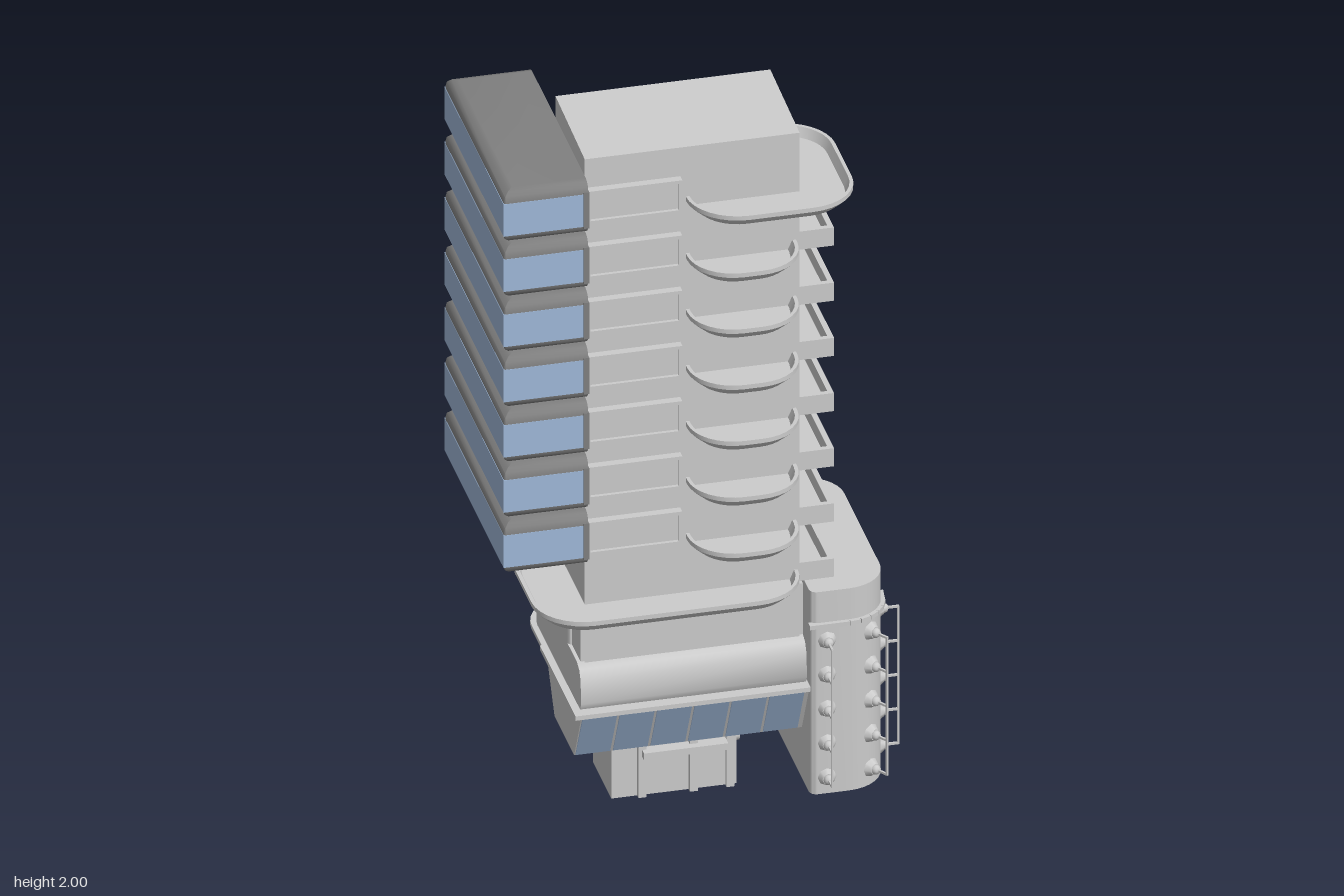
import * as THREE from 'three';
import { toCreasedNormals } from 'three/addons/utils/BufferGeometryUtils.js';

const mat = (color) => new THREE.MeshStandardMaterial({ color });

// Rounded rectangle in plan, as [x, z] points; radii run back left, back right, front right, front left
function plan(x0, x1, z0, z1, r, inset = 0) {
  const radii = Array.isArray(r) ? r : [r, r, r, r];
  const pts = [];
  radii.forEach((rad, k) => {
    const q = Math.max(rad - inset, 0.001);
    const cx = k === 0 || k === 3 ? x1 - inset - q : x0 + inset + q;
    const cz = k < 2 ? z0 + inset + q : z1 - inset - q;
    for (let i = 0; i <= 8; i++) {
      const a = (k + i / 8) * Math.PI / 2;
      pts.push([cx + q * Math.cos(a), cz - q * Math.sin(a)]);
    }
  });
  return pts;
}

// Upright prism over a plan outline
function prism(pts, y0, y1) {
  const shape = new THREE.Shape(pts.map(([x, z]) => new THREE.Vector2(x, -z)));
  const g = new THREE.ExtrudeGeometry(shape, { depth: y1 - y0, bevelEnabled: false });
  g.rotateX(-Math.PI / 2).translate(0, y0, 0);
  return toCreasedNormals(g, 0.6);
}

// Side profile of [z, y] points, swept from x0 to x1
function sweepX(profile, x0, x1) {
  const shape = new THREE.Shape(profile.map(([z, y]) => new THREE.Vector2(-z, y)));
  const g = new THREE.ExtrudeGeometry(shape, { depth: x1 - x0, bevelEnabled: false });
  return g.rotateY(Math.PI / 2).translate(x0, 0, 0);
}

// Closed loft through rings of [inset, height] of one plan; x is cut flat at xMax
function loft(x0, x1, z0, z1, r, rings, xMax = 1) {
  const loops = rings.map(([inset, h]) => plan(x0, x1, z0, z1, r, inset).map(([x, z]) => [Math.min(x, xMax), h, z]));
  const n = loops[0].length;
  const mid = (h) => Array(n).fill([(x0 + x1) / 2, h, (z0 + z1) / 2]);
  const all = [mid(rings[0][1]), ...loops, mid(rings[rings.length - 1][1])];
  const index = [];
  for (let i = 0; i < all.length - 1; i++) {
    for (let j = 0; j < n; j++) {
      const a = i * n + j, b = i * n + (j + 1) % n;
      index.push(a, b, a + n, b, b + n, a + n);
    }
  }
  const g = new THREE.BufferGeometry();
  g.setAttribute('position', new THREE.Float32BufferAttribute(all.flat(2), 3));
  g.setIndex(index);
  return toCreasedNormals(g, 0.7);
}

const trayRings = [[0.055, 0], [0.03, 0.006], [0.01, 0.024], [0, 0.034], [0, 0.047], [0.01, 0.047], [0.022, 0.02]];
const podRings = [[0.03, 0], [0.015, 0.004], [0.004, 0.015], [0, 0.03], [0, 0.127], [0.004, 0.142], [0.015, 0.153], [0.03, 0.157]];

export function createModel() {
  const root = new THREE.Group();
  const grey = mat(0xcccccc), dark = mat(0x808080), blue = mat(0x9fb8d8);

  const add = (name, geo, material = grey, parent = root) => {
    const m = new THREE.Mesh(geo, material);
    m.name = name;
    parent.add(m);
    return m;
  };
  const box = (name, x0, x1, y0, y1, z0, z1, material, parent) => {
    const g = new THREE.BoxGeometry(x1 - x0, y1 - y0, z1 - z0);
    g.translate((x0 + x1) / 2, (y0 + y1) / 2, (z0 + z1) / 2);
    return add(name, g, material, parent);
  };
  // Rectangular bar between two points, aimed before it joins its parent
  const bar = (name, a, b, w, h, parent = root) => {
    const p = new THREE.Vector3(...a), q = new THREE.Vector3(...b);
    const m = new THREE.Mesh(new THREE.BoxGeometry(w, h, p.distanceTo(q)), grey);
    m.name = name;
    m.position.copy(p).add(q).multiplyScalar(0.5);
    m.lookAt(q);
    parent.add(m);
  };
  const group = (name) => {
    const g = new THREE.Group();
    g.name = name;
    root.add(g);
    return g;
  };

  // Tower with a slightly sloping roof, wider at its foot
  add('tower', sweepX([[0.25, 0.32], [-0.07, 0.32], [-0.07, 2], [0.25, 1.985]], -0.325, 0.26));
  box('towerFoot', -0.335, 0.27, 0.32, 0.61, -0.07, 0.245);

  // Pods with softened top and bottom edges, cut flat beside the tower
  const podGeo = loft(-0.555, -0.28, -0.355, 0.29, 0.006, podRings, -0.325);

  // Ramp outline: half landing, rise, short landing
  const run = [[0.15, 0], [-0.13, 0.165], [-0.185, 0.165]];
  const flight = (name, h, z0, z1, parent) => {
    const pts = [...run, ...run.map(([x, y]) => [x, y + h]).reverse()];
    const shape = new THREE.Shape(pts.map(([x, y]) => new THREE.Vector2(x, y)));
    const g = new THREE.ExtrudeGeometry(shape, { depth: z1 - z0, bevelEnabled: false });
    add(name, g.translate(0, 0, z0), grey, parent);
  };

  for (let i = 0; i < 7; i++) {
    const dy = 0.168 * i;
    const pod = group('pod');
    pod.position.y = 0.77 + dy;
    add('podShell', podGeo, dark, pod);
    box('podWindows', -0.556, -0.324, 0.026, 0.124, -0.356, 0.291, blue, pod);
    box('podCorner', -0.338, -0.323, 0.02, 0.13, 0.27, 0.2915, dark, pod);

    // Framed panel beside the pod
    const panel = group('frontPanel');
    panel.position.y = 0.79 + dy;
    box('panelFace', -0.325, -0.065, 0, 0.1, 0.24, 0.263, grey, panel);
    for (const y of [0, 0.09]) box('panelRail', -0.325, -0.065, y, y + 0.01, 0.24, 0.273, grey, panel);
    for (const x of [-0.325, -0.075]) box('panelPost', x, x + 0.01, 0, 0.1, 0.24, 0.273, grey, panel);

    // Walkway around the left side and back, then a ramp up to the next floor
    const walk = group('walkway');
    walk.position.y = 0.618 + dy;
    box('sideFloor', 0.25, 0.355, 0, 0.014, -0.165, 0.245, grey, walk);
    box('sideParapet', 0.34, 0.355, 0, 0.055, -0.165, 0.245, grey, walk);
    box('endParapet', 0.25, 0.355, 0, 0.055, 0.23, 0.245, grey, walk);
    box('backFloor', 0.15, 0.35, 0, 0.014, -0.165, -0.06, grey, walk);
    box('backParapet', 0.15, 0.355, 0, 0.055, -0.165, -0.15, grey, walk);
    flight('rampFloor', 0.014, -0.165, -0.06, walk);
    flight('rampParapet', 0.055, -0.165, -0.15, walk);
    box('landingParapet', -0.185, -0.168, 0.165, 0.22, -0.165, -0.06, grey, walk);
  }

  // Dished balconies: small ones on each floor, wide ones at top and bottom
  const smallTray = loft(-0.05, 0.25, 0, 0.39, 0.125, trayRings);
  for (let i = 0; i < 6; i++) add('frontBalcony', smallTray).position.y = 0.762 + 0.1705 * i;
  add('topBalcony', loft(-0.05, 0.402, -0.07, 0.39, 0.14, trayRings)).position.y = 1.787;
  add('lowerBalcony', loft(-0.47, 0.255, -0.07, 0.39, 0.14, trayRings)).position.y = 0.61;

  // Podium, its lower flange and the front wing that reaches the ground
  add('podium', prism(plan(-0.345, 0.49, -0.295, 0.15, [0.11, 0.11, 0.01, 0.01]), 0.325, 0.615));
  add('podiumFlange', prism(plan(-0.36, 0.505, -0.315, -0.075, [0.125, 0.125, 0.01, 0.01]), 0.315, 0.328));
  add('wing', prism(plan(0.275, 0.49, -0.08, 0.31, [0.001, 0.001, 0.02, 0.11]), 0, 0.615));

  // Trim that steps down from the wing to the flange
  const trim = [[0.27, 0.515, 0.312], [0.38, 0.515, 0.312]];
  for (let i = 1; i <= 6; i++) {
    const a = i * Math.PI / 12;
    trim.push([0.38 + 0.112 * Math.sin(a), 0.515, 0.2 + 0.112 * Math.cos(a)]);
  }
  trim.push([0.495, 0.515, 0.18], [0.495, 0.322, -0.075], [0.495, 0.322, -0.2]);
  for (let i = 0; i < trim.length - 1; i++) bar('wingTrim', trim[i], trim[i + 1], 0.02, 0.012);

  // Lamp columns around the wing: knobs on pegs joined by a thin upright
  const lampSpots = [[0.32, 0.31, 0], [0.445, 0.29, 0.6], [0.49, 0.18, Math.PI / 2]];
  for (const [x, z, turn] of lampSpots) {
    const col = group('lampColumn');
    col.position.set(x, 0, z);
    col.rotation.y = turn;
    for (let i = 0; i < 5; i++) {
      const y = 0.05 + 0.104 * i;
      const base = add('lampBase', new THREE.CylinderGeometry(0.016, 0.027, 0.016, 8), grey, col);
      base.rotation.x = Math.PI / 2;
      base.position.set(0, y, 0.006);
      add('lampKnob', new THREE.SphereGeometry(0.014, 8, 6), grey, col).position.set(0, y, 0.016);
      bar('lampPeg', [0, y, 0], [0, y, 0.058], 0.006, 0.006, col);
    }
    bar('lampUpright', [0, 0.05, 0.056], [0, 0.466, 0.056], 0.006, 0.006, col);
  }

  // Softened band and thin ledge above the sloping windows
  const band = [[0.28, 0.33], [0, 0.33], [0, 0.455], [0.245, 0.455], [0.27, 0.445], [0.285, 0.42], [0.29, 0.35]];
  add('frontBand', toCreasedNormals(sweepX(band, -0.345, 0.27), 0.7));
  box('frontLedge', -0.365, 0.275, 0.315, 0.328, -0.08, 0.31);

  // Sloping window block
  add('windowBlock', sweepX([[0.215, 0.155], [0, 0.155], [-0.1, 0.318], [0.296, 0.318]], -0.345, 0.275));
  for (let i = 0; i < 6; i++) {
    const x = -0.342 + i * 0.102;
    add('windowPane', sweepX([[0.219, 0.157], [0.2, 0.157], [0.28, 0.316], [0.3, 0.316]], x, x + 0.094), blue);
  }

  // Entrance block with piers, a small canopy and a side knob
  box('entrance', -0.24, 0.1, 0, 0.16, 0, 0.2);
  for (const x of [-0.17, -0.03, 0.07]) box('entrancePier', x, x + 0.022, 0, 0.155, 0.19, 0.215);
  box('entranceCanopy', -0.16, 0.07, 0.125, 0.145, 0.19, 0.235);
  const knob = add('entranceKnob', new THREE.CylinderGeometry(0.02, 0.02, 0.04, 10));
  knob.rotation.z = Math.PI / 2;
  knob.position.set(0.11, 0.095, 0.1);

  // Three cranked legs at the back
  const leg = [[-0.28, 0.408], [-0.28, 0.388], [-0.375, 0.345], [-0.375, 0], [-0.394, 0], [-0.394, 0.355]];
  for (const x of [-0.205, -0.09, 0.03]) add('backLeg', sweepX(leg, x, x + 0.078));

  return root;
}
